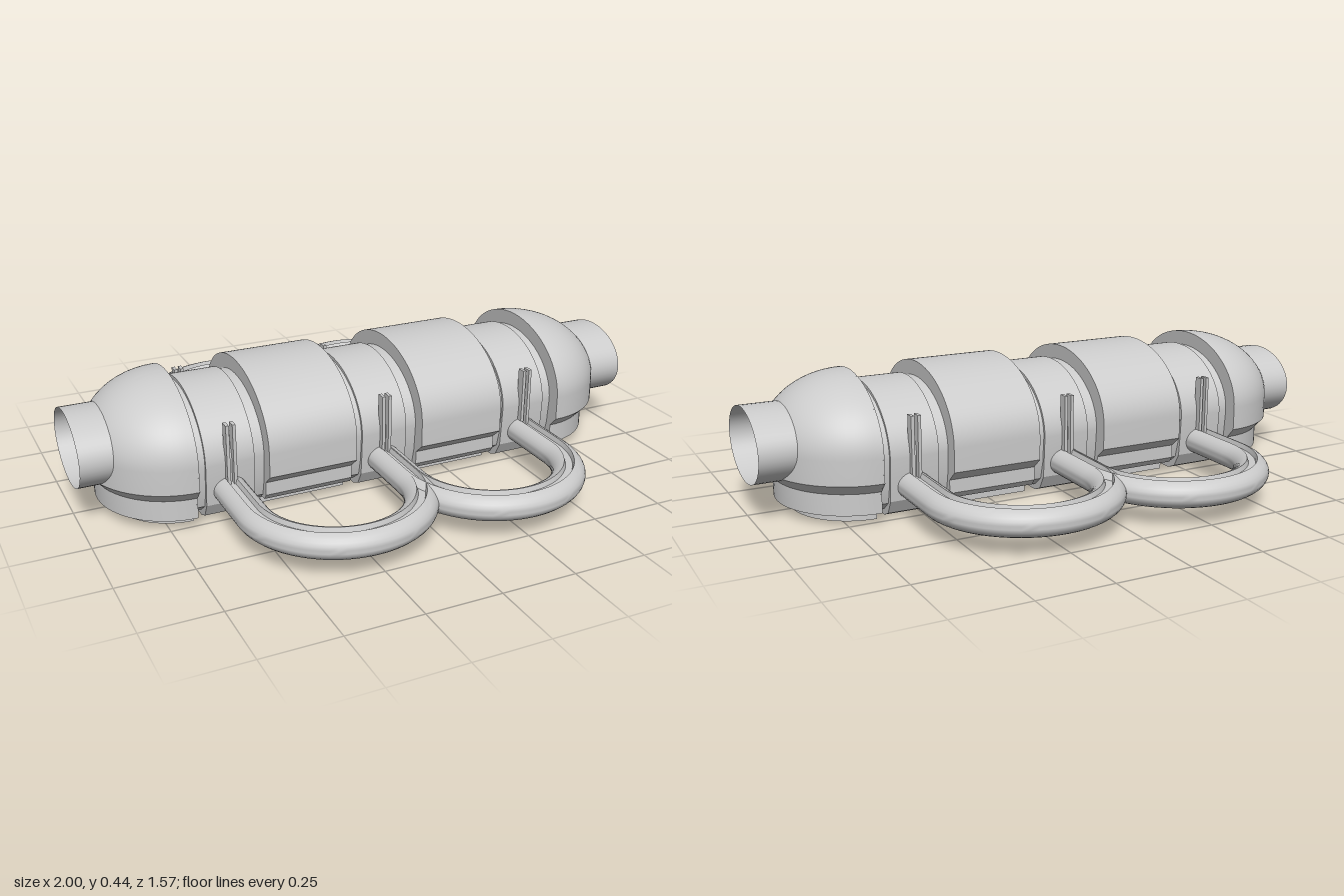
import * as THREE from 'three';
import { toCreasedNormals } from 'three/addons/utils/BufferGeometryUtils.js';

const grey = new THREE.MeshStandardMaterial({ color: 0xcccccc });
const greyOpen = new THREE.MeshStandardMaterial({ color: 0xcccccc, side: THREE.DoubleSide });

// Half outline of a hull slice, bottom centre to top centre: lower points, then an elliptical dome
function outline(lower, width, shoulder, top) {
  const pts = [[0, lower[0][1]], ...lower].map(([w, y]) => new THREE.Vector2(w, y));
  const n = 24;
  for (let i = 0; i <= n; i++) {
    const a = (i / n) * Math.PI / 2;
    pts.push(new THREE.Vector2(i === n ? 0 : width * Math.cos(a), shoulder + (top - shoulder) * Math.sin(a)));
  }
  return pts;
}

// Hull slice between two x positions
function slice(pts, x0, x1) {
  const left = pts.slice(1, -1).reverse().map(p => new THREE.Vector2(-p.x, p.y));
  const geo = new THREE.ExtrudeGeometry(new THREE.Shape([...pts.slice(1), ...left]), { depth: x1 - x0, bevelEnabled: false });
  geo.rotateY(Math.PI / 2).translate(x0, 0, 0);
  return toCreasedNormals(geo, 0.4);
}

// Sweep a closed profile [outward, up] along a U-shaped path lying flat
function hoopGeometry(centreZ, radius, startZ) {
  const profile = [];
  for (let i = 0; i <= 24; i++) {
    const a = Math.PI / 2 + 0.3 + (i / 24) * (2 * Math.PI - 0.6);
    profile.push([0.055 * Math.cos(a), 0.046 * Math.sin(a)]);
  }
  // shallow channel along the top
  profile.push([0.011, 0.028], [-0.011, 0.028]);
  const stations = [[radius, startZ, 0]];
  for (let i = 0; i <= 40; i++) {
    const a = (i / 40) * Math.PI;
    stations.push([radius * Math.cos(a), centreZ + radius * Math.sin(a), a]);
  }
  stations.push([-radius, startZ, Math.PI]);
  const pos = [], idx = [], m = profile.length;
  stations.forEach(([x, z, a], s) => {
    for (const [u, v] of profile) pos.push(x + u * Math.cos(a), v, z + u * Math.sin(a));
    if (s === 0) return;
    for (let j = 0; j < m; j++) {
      const k = (j + 1) % m, p = (s - 1) * m, q = s * m;
      idx.push(p + j, p + k, q + j, p + k, q + k, q + j);
    }
  });
  const geo = new THREE.BufferGeometry();
  geo.setAttribute('position', new THREE.Float32BufferAttribute(pos, 3));
  geo.setIndex(idx);
  return toCreasedNormals(geo, 0.6);
}

export function createModel() {
  const model = new THREE.Group();
  const body = new THREE.Group();
  body.name = 'body';
  body.position.set(-0.0075, 0, -0.003);
  model.add(body);
  const add = (name, geo, mat = grey) => {
    const mesh = new THREE.Mesh(geo, mat);
    mesh.name = name;
    body.add(mesh);
    return mesh;
  };

  // Outlines of the different hull slices
  const core = outline([[0.19, 0.02], [0.23, 0.05], [0.245, 0.11]], 0.252, 0.2, 0.39);
  const joint = outline([[0.19, 0], [0.225, 0.015], [0.25, 0.06], [0.255, 0.12]], 0.26, 0.2, 0.4);
  const block = outline([[0.19, 0], [0.19, 0.035], [0.245, 0.04], [0.26, 0.06], [0.26, 0.105], [0.3, 0.14]], 0.3, 0.22, 0.44);
  const cap = outline([[0.216, 0], [0.216, 0.035], [0.268, 0.035], [0.268, 0.105], [0.3, 0.14]], 0.3, 0.22, 0.44);

  // Inner core seen in the grooves, recessed joints and raised blocks
  add('hullCore', slice(core, -0.66, 0.66));
  for (const x of [-0.54, 0, 0.54]) add('hullJoint', slice(joint, x - 0.081, x + 0.081));
  for (const x of [-0.272, 0.272]) add('hullBlock', slice(block, x - 0.152, x + 0.152));

  // Domed ends with their flat inner faces and open elliptical sleeves
  for (const side of [1, -1]) {
    const dome = new THREE.LatheGeometry(cap, 32, 0, Math.PI);
    dome.scale(0.95, 1, 1).translate(0.657, 0, 0);
    if (side < 0) dome.rotateY(Math.PI);
    add('endDome', toCreasedNormals(dome, 0.4));
    add('endDomeFace', slice(cap, side * 0.657 - 0.002, side * 0.657 + 0.002));

    const end = 1 + side * 0.0075;
    const sleeve = new THREE.CylinderGeometry(1, 1, end - 0.86, 48, 1, true);
    sleeve.rotateZ(Math.PI / 2).scale(1, 0.122, 0.176);
    add('endSleeve', sleeve, greyOpen).position.set(side * (0.86 + end) / 2, 0.233, 0);
  }

  // Four side hoops
  const hoop = hoopGeometry(0.46, 0.27, 0.2);
  hoop.computeBoundingBox();
  for (const x of [-0.272, 0.272]) {
    for (const turn of [0, Math.PI]) {
      const mesh = add('sideHoop', hoop, greyOpen);
      mesh.position.set(x, 0.105, 0);
      mesh.rotation.y = turn;
    }
  }

  // Paired upright pins where the hoops meet the hull
  const pin = new THREE.BoxGeometry(0.011, 0.26, 0.03);
  for (const x of [-0.54, 0, 0.54]) {
    for (const z of [-0.262, 0.262]) {
      for (const dx of [-0.011, 0.011]) add('hoopPin', pin).position.set(x + dx, 0.205, z);
    }
  }
  return model;
}
